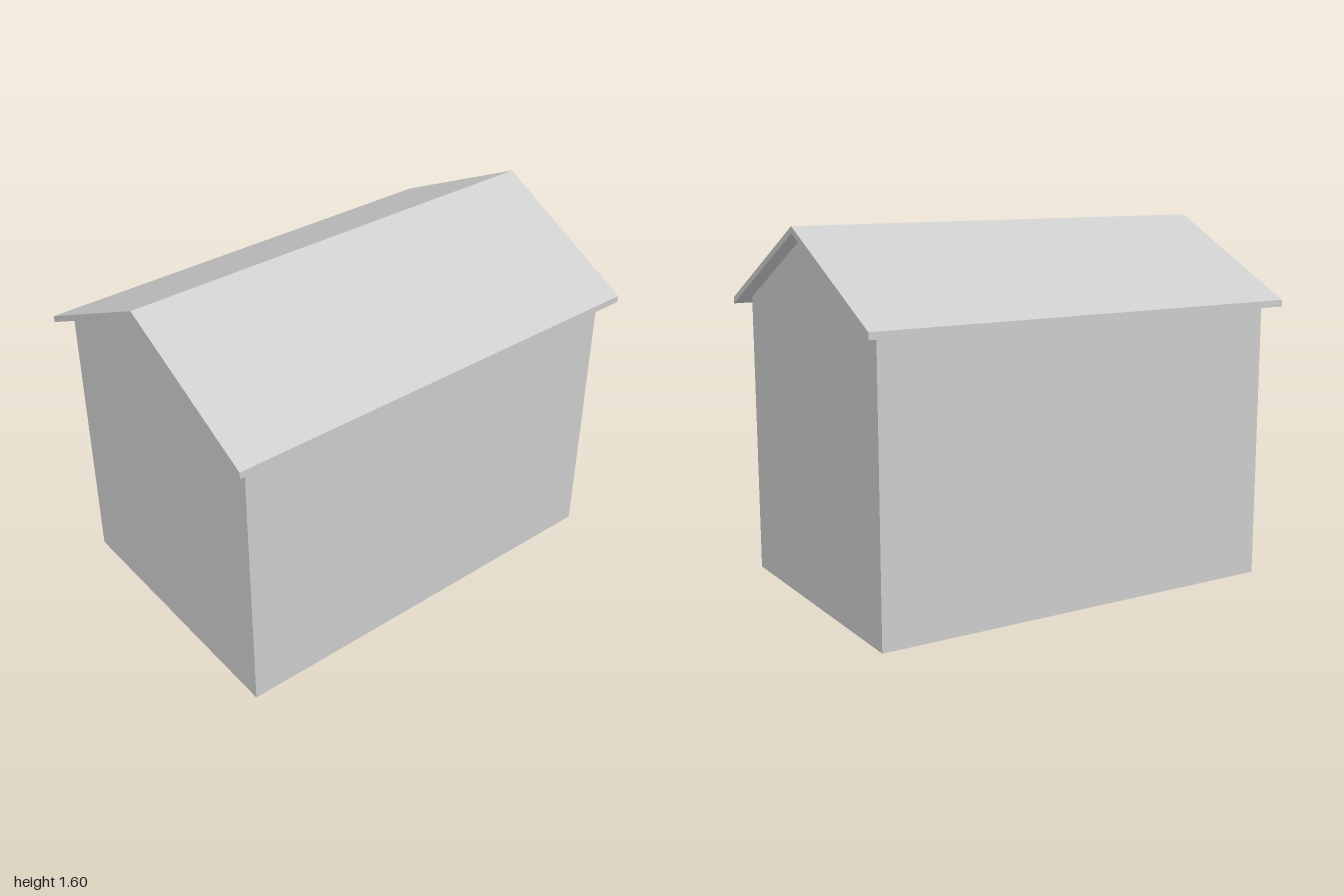
import * as THREE from 'three';

const material = new THREE.MeshStandardMaterial({ color: 0xcccccc, flatShading: true });

// Extrudes a [z, y] outline along x, centred on x = 0
function extrudeAlongX(name, outline, length) {
  const shape = new THREE.Shape(outline.map(([z, y]) => new THREE.Vector2(-z, y)));
  const geometry = new THREE.ExtrudeGeometry(shape, { depth: length, bevelEnabled: false });
  geometry.translate(0, 0, -length / 2);
  geometry.rotateY(Math.PI / 2);
  const mesh = new THREE.Mesh(geometry, material);
  mesh.name = name;
  return mesh;
}

export function createModel() {
  const ridge = 1.595, slope = 0.502, thickness = 0.029;
  const wallZ = 0.625, eaveZ = 0.6875;
  const under = ridge - thickness;
  const group = new THREE.Group();
  group.name = 'house';

  // Closed body with gable ends that meet the underside of the roof
  group.add(extrudeAlongX('walls', [
    [-wallZ, 0], [wallZ, 0],
    [wallZ, under - slope * wallZ], [0, under], [-wallZ, under - slope * wallZ],
  ], 1.876));

  // Thin gabled roof overhanging on all sides
  const eave = ridge - slope * eaveZ;
  group.add(extrudeAlongX('roof', [
    [-eaveZ, eave], [-eaveZ, eave - thickness], [0, under],
    [eaveZ, eave - thickness], [eaveZ, eave], [0, ridge],
  ], 2));

  return group;
}
